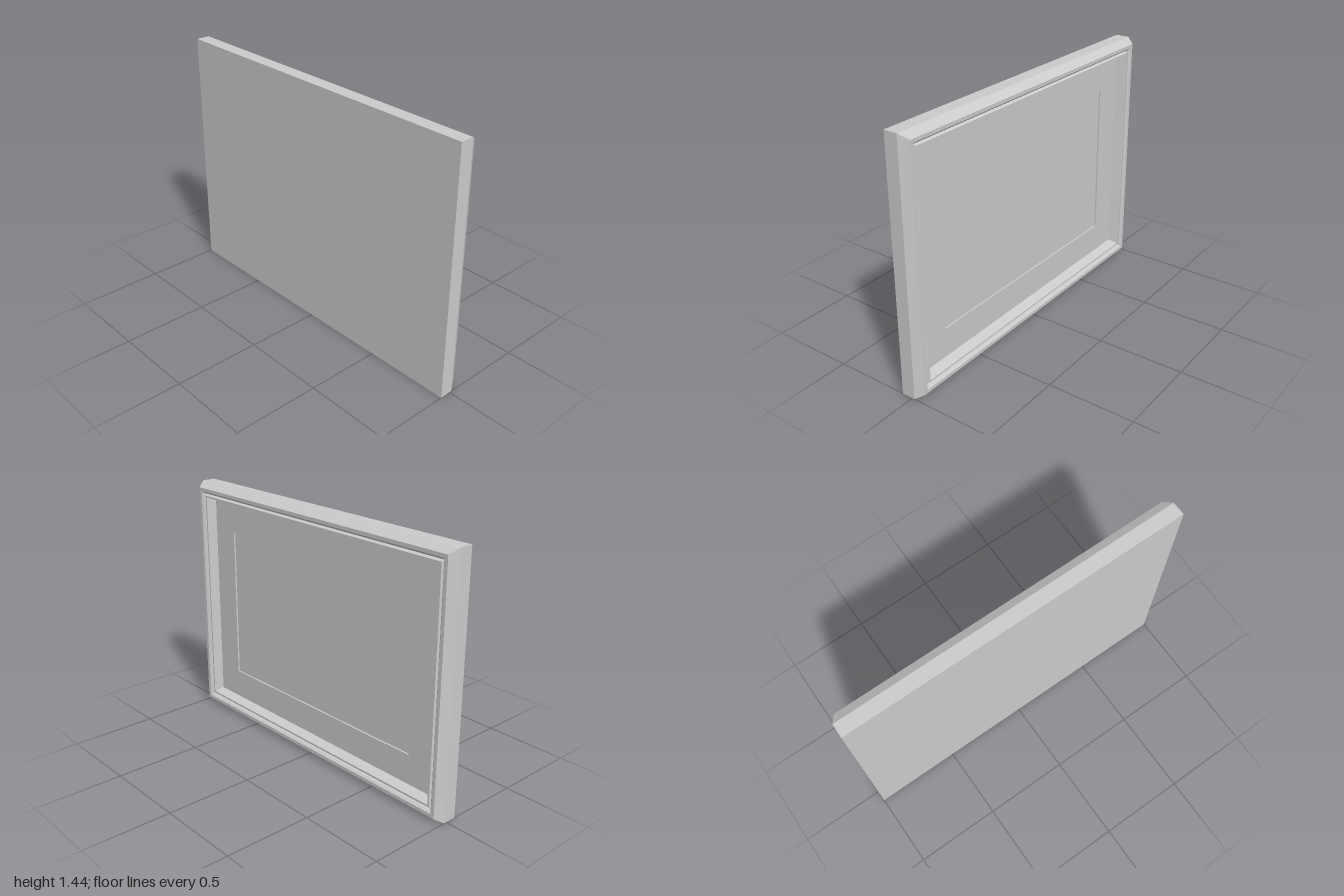
import * as THREE from 'three';

const W = 2, H = 1.44, FRONT = 0.064;

// Sweeps a profile of [inset, z] points around a mitred rectangle
function mitredRing(profile) {
  const corners = [[-1, -1], [1, -1], [1, 1], [-1, 1]];
  const point = ([inset, z], c) => {
    const [sx, sy] = corners[c % 4];
    return [sx * (W / 2 - inset), H / 2 + sy * (H / 2 - inset), z];
  };
  const pos = [];
  for (let i = 0; i < profile.length - 1; i++) {
    for (let c = 0; c < 4; c++) {
      const a = point(profile[i], c), b = point(profile[i], c + 1);
      const a2 = point(profile[i + 1], c), b2 = point(profile[i + 1], c + 1);
      pos.push(...a, ...a2, ...b, ...b, ...a2, ...b2);
    }
  }
  const geo = new THREE.BufferGeometry();
  geo.setAttribute('position', new THREE.Float32BufferAttribute(pos, 3));
  geo.computeVertexNormals();
  return geo;
}

export function createModel() {
  const group = new THREE.Group();
  const material = new THREE.MeshStandardMaterial({ color: 0xcccccc, flatShading: true });
  const add = (name, geo) => {
    const mesh = new THREE.Mesh(geo, material);
    mesh.name = name;
    group.add(mesh);
    return mesh;
  };

  // Moulding: straight side, chamfer, flat rim, groove, inner lip, sloped wall
  add('frameMoulding', mitredRing([
    [0, FRONT], [0, -0.015], [0.03, -0.064], [0.05, -0.064], [0.06, -0.054],
    [0.062, -0.04], [0.067, -0.04], [0.075, -0.054], [0.085, -0.054], [0.103, 0],
  ]));

  // Mat border with a shallow step down to the picture
  const matInset = 0.273, pictureZ = 0.01;
  add('matBorder', mitredRing([[0.103, 0], [matInset, 0], [matInset, pictureZ]]));

  // Picture, seen from the -z side
  const picture = add('picture', new THREE.PlaneGeometry(W - 2 * matInset, H - 2 * matInset));
  picture.rotation.y = Math.PI;
  picture.position.set(0, H / 2, pictureZ);

  // Flat panel closing the +z side
  const panel = add('backingPanel', new THREE.PlaneGeometry(W, H));
  panel.position.set(0, H / 2, FRONT);

  return group;
}
